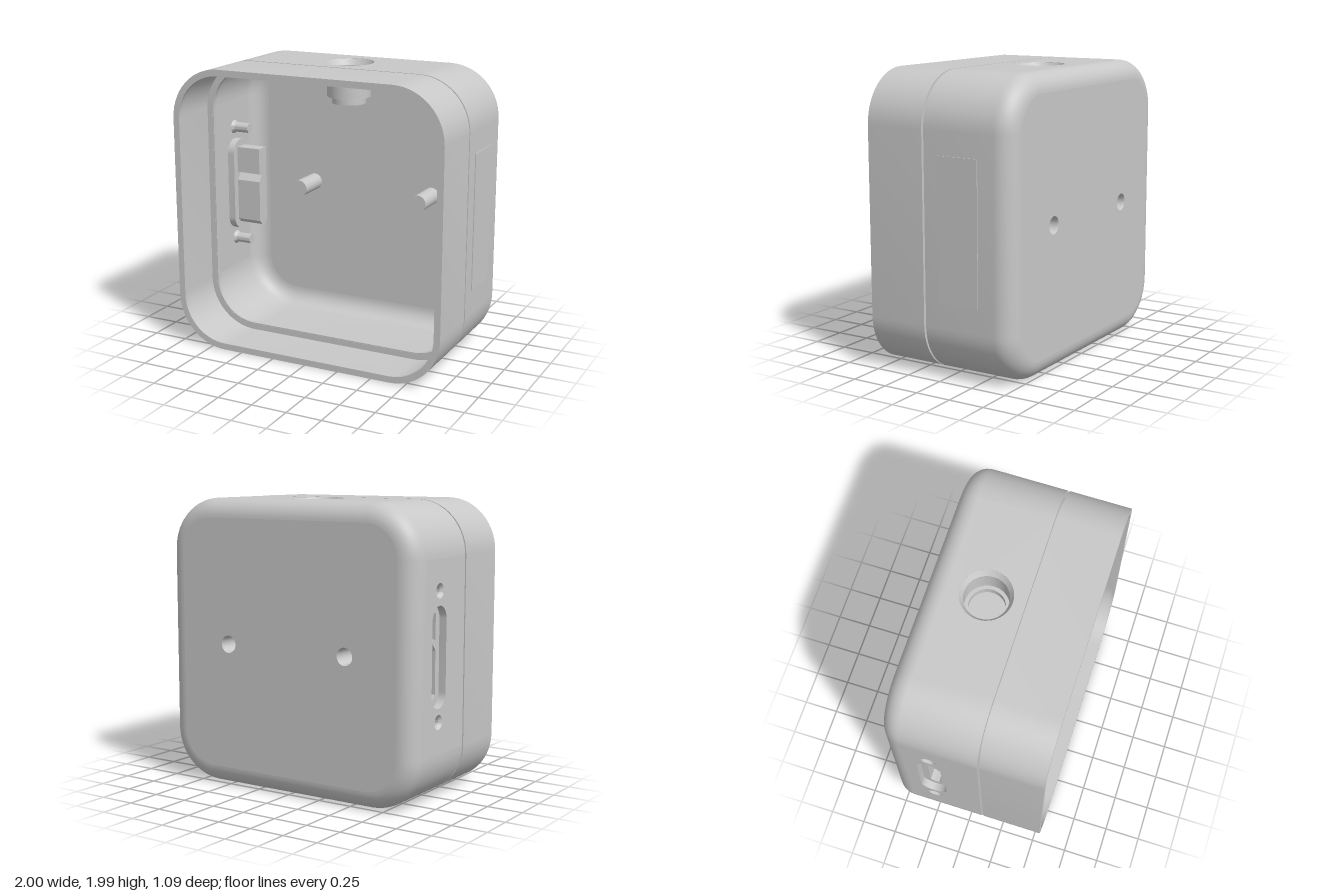
import * as THREE from 'three';
import { toCreasedNormals } from 'three/addons/utils/BufferGeometryUtils.js';

const HALF = 0.997, RADIUS = 0.36, STRAIGHT = HALF - RADIUS;
const CX = -0.003, CY = 0.997, WALL = 0.008, FILLET = 0.13;
const BACK = -0.545, BEND = BACK + FILLET, RIM = 0.105;
const CORNER_STEPS = 14;

const grey = new THREE.MeshStandardMaterial({ color: 0xc8c8c8 });
grey.name = 'light grey plastic';

function add(group, name, geometry, x = 0, y = 0, z = 0) {
  const mesh = new THREE.Mesh(toCreasedNormals(geometry, 0.5), grey);
  mesh.name = name;
  mesh.position.set(x, y, z);
  group.add(mesh);
}

// Rounded square, counter-clockwise, inset from the outer wall
function ring(inset) {
  const r = RADIUS - inset, pts = [];
  for (let c = 0; c < 4; c++) {
    const sx = c === 0 || c === 3 ? 1 : -1, sy = c < 2 ? 1 : -1;
    for (let i = 0; i <= CORNER_STEPS; i++) {
      const a = (c + i / CORNER_STEPS) * Math.PI / 2;
      pts.push(new THREE.Vector2(CX + sx * STRAIGHT + r * Math.cos(a), CY + sy * STRAIGHT + r * Math.sin(a)));
    }
  }
  return pts;
}

// Sweep an [inset, z] profile around the rounded square; skip(side, z0, z1) leaves a straight side open
function sweep(profile, skip = () => false) {
  const pos = [], idx = [], n = 4 * (CORNER_STEPS + 1);
  profile.forEach(([inset, z]) => ring(inset).forEach(p => pos.push(p.x, p.y, z)));
  for (let i = 0; i < profile.length - 1; i++) {
    for (let j = 0; j < n; j++) {
      const side = j % (CORNER_STEPS + 1) === CORNER_STEPS ? Math.floor(j / (CORNER_STEPS + 1)) : -1;
      if (side >= 0 && skip(side, profile[i][1], profile[i + 1][1])) continue;
      const a = i * n + j, b = i * n + (j + 1) % n, c = b + n, d = a + n;
      idx.push(a, b, c, a, c, d);
    }
  }
  const g = new THREE.BufferGeometry();
  g.setAttribute('position', new THREE.Float32BufferAttribute(pos, 3));
  g.setIndex(idx);
  return g;
}

const vecs = list => list.map(([x, y]) => new THREE.Vector2(x, y));
const rect = (x0, x1, y0, y1) => vecs([[x0, y0], [x1, y0], [x1, y1], [x0, y1]]);
const circle = (x, y, r) => new THREE.Path().absarc(x, y, r, 0, Math.PI * 2).getPoints(24);

// Upright slot outline with round ends
function pill(x, r, y0, y1) {
  return new THREE.Path().absarc(x, y1 - r, r, 0, Math.PI).absarc(x, y0 + r, r, Math.PI, Math.PI * 2).getPoints(12);
}

function plate(outline, holes, depth) {
  const s = new THREE.Shape(outline);
  s.holes = holes.map(h => new THREE.Path(h));
  return new THREE.ExtrudeGeometry(s, { depth, bevelEnabled: false });
}

// Round post with a blind bore that widens to a mouth at its base
function hollowPost(r, bore, mouth, length, depth) {
  return new THREE.LatheGeometry(vecs([
    [0, depth], [bore, depth], [bore, 0.02], [mouth, 0], [mouth, WALL], [r, 0.03], [r, length], [0, length]]), 32);
}

export function createModel() {
  const model = new THREE.Group();
  model.name = 'enclosure';

  // Rear case: thin shell with a rounded back edge and an inward rim
  const STEPS = 10, outside = [], inside = [];
  for (let i = 0; i <= STEPS; i++) {
    const a = i / STEPS * Math.PI / 2, r = FILLET - WALL;
    outside.push([FILLET * (1 - Math.sin(a)), i === STEPS ? BEND : BEND - FILLET * Math.cos(a)]);
    inside.push([FILLET - r * Math.cos(a), BEND - r * Math.sin(a)]);
  }
  const caseProfile = [...outside, [0, RIM], [0.055, RIM], [0.055, RIM - WALL], [WALL, RIM - WALL], ...inside];
  add(model, 'rearCase', sweep(caseProfile, (side, z0, z1) => side < 2 && Math.abs(z1 - z0) > 0.3));

  // Flat back with two mounting holes
  const pinXs = [-0.48, 0.47];
  add(model, 'backWall', plate(ring(FILLET), pinXs.map(x => circle(x, 1, 0.06)), WALL), 0, 0, BACK);
  for (const x of pinXs) {
    add(model, 'mountingPin', hollowPost(0.06, 0.054, 0.06, 0.255, 0.22).rotateX(Math.PI / 2), x, 1, BACK);
  }

  // Top wall with the cable gland opening
  const glandZ = -0.15;
  const top = plate(rect(CX - STRAIGHT, CX + STRAIGHT, -RIM, -BEND), [circle(CX, -glandZ, 0.174)], WALL);
  add(model, 'topWall', top.rotateX(-Math.PI / 2), 0, 2 * HALF - WALL, 0);
  add(model, 'cableGland', new THREE.LatheGeometry(vecs([
    [0, 1.71], [0.12, 1.71], [0.12, 1.757], [0.152, 1.757], [0.152, 1.944], [0.175, 1.985],
    [0.175, 1.994], [0.148, 1.95], [0.148, 1.8], [0.123, 1.8], [0.123, 1.75], [0, 1.75]]), 48), CX, 0, glandZ);

  // Side wall with connector slot and screw holes
  const portZ = -0.23, screwYs = [0.575, 1.43];
  const slot = pill(portZ, 0.092, 0.665, 1.335);
  const toSide = g => g.rotateY(-Math.PI / 2);
  const side = plate(rect(BEND, RIM, CY - STRAIGHT, CY + STRAIGHT),
    [slot, ...screwYs.map(y => circle(portZ, y, 0.05))], WALL);
  add(model, 'connectorWall', toSide(side), -1 + WALL, 0, 0);
  for (const y of screwYs) {
    add(model, 'screwPost', hollowPost(0.036, 0.031, 0.05, 0.14, 0.1).rotateZ(-Math.PI / 2), -1, y, portZ);
  }

  // Keyed connector: recessed cup, hollow shell and end cap
  const key = (w, lo, hi, c, t) => vecs([
    [portZ - w + c, lo], [portZ + w - c, lo], [portZ + w, lo + c], [portZ + w, 1.04 - t],
    [portZ + w - 0.04, 1.09 - t], [portZ + w - 0.04, 1.1 + t], [portZ + w, 1.1 + t],
    [portZ + w, hi], [portZ - w, hi], [portZ - w, lo + c]]);
  const outer = key(0.05, 0.71, 1.29, 0.03, 0), inner = key(0.043, 0.718, 1.282, 0.027, 0.006);
  const cupEdge = pill(portZ, 0.1, 0.657, 1.343);
  add(model, 'connectorCupWall', toSide(plate(cupEdge, [slot], 0.048)), -0.945);
  add(model, 'connectorCupFloor', toSide(plate(cupEdge, [inner], WALL)), -0.94);
  add(model, 'connectorShell', toSide(plate(outer, [inner], 0.175)), -0.765);
  add(model, 'connectorCap', toSide(plate(outer, [], 0.01)), -0.755);

  // Thin lip that bridges the seam between case and frame
  add(model, 'seamLip', sweep([
    [0.049, 0.098], [0.049, 0.127], [0.058, 0.127], [0.058, 0.098], [0.049, 0.098]]));

  // Thin front frame with inward rims at the mouth and at the seam
  add(model, 'frontFrame', sweep([
    [0, 0.12], [0, 0.545], [0.045, 0.545], [0.045, 0.525], [WALL, 0.525],
    [WALL, 0.128], [0.05, 0.128], [0.05, 0.12], [0, 0.12]]));

  // Thin raised label panel on the left side
  add(model, 'sidePanel', new THREE.BoxGeometry(0.008, 0.95, 0.3), 0.996, 1.005, -0.15);

  return model;
}
